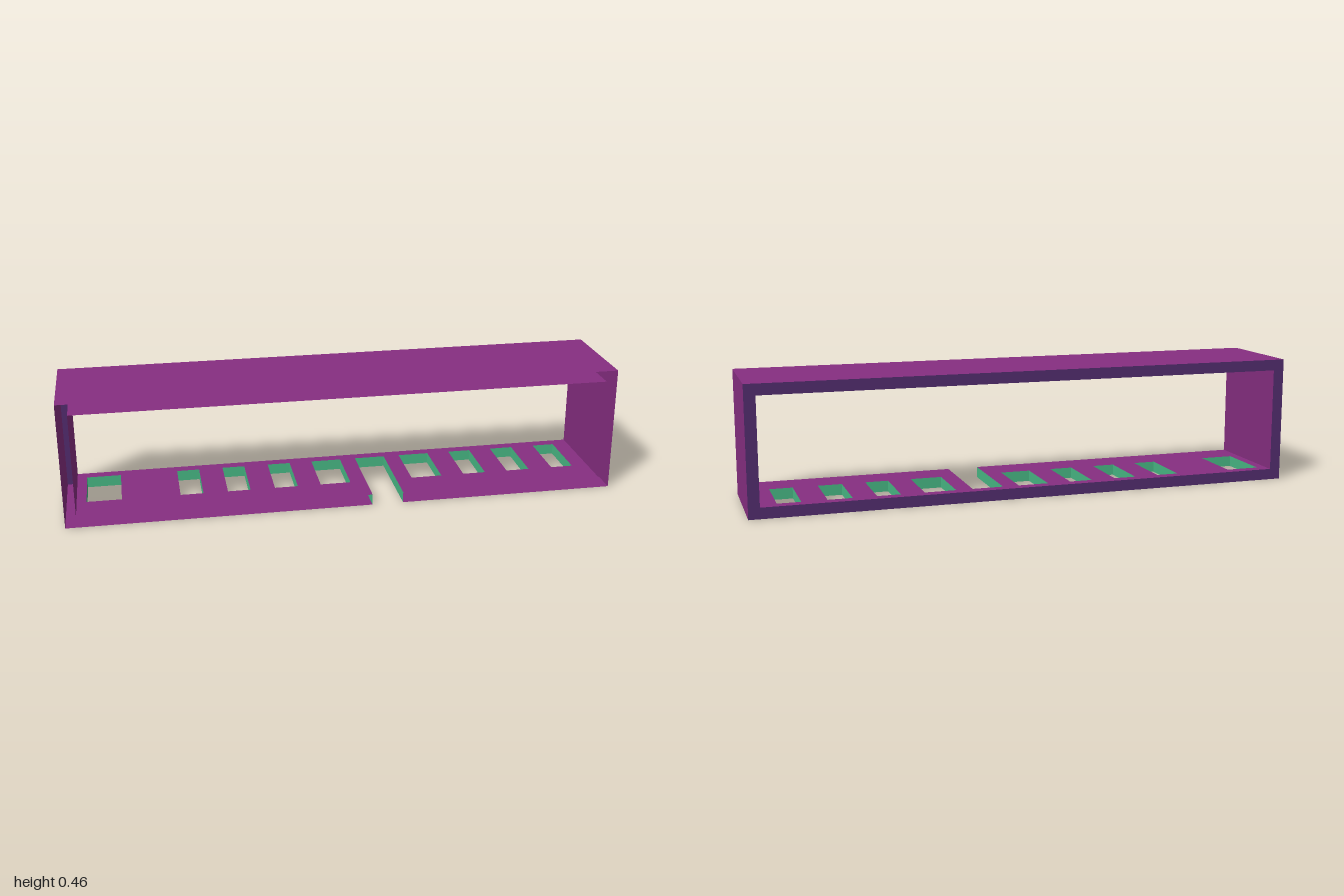
import * as THREE from 'three';

const W = 1, H = 0.46, D = 0.188, T = 0.04; // half width, height, half depth, wall thickness
const Z_BACK = -0.15, Z_FRONT = 0.067;

// x ranges of the cut-outs in the floor; the one marked open runs out to the front edge
const CUTS = [
  [-0.925, -0.8], [-0.59, -0.507], [-0.418, -0.335], [-0.245, -0.16], [-0.075, 0.037],
  [0.096, 0.21, 'open'], [0.27, 0.385], [0.47, 0.555], [0.64, 0.727], [0.817, 0.9],
];

const mat = (name, color) => {
  const m = new THREE.MeshStandardMaterial({ color, side: THREE.DoubleSide });
  m.name = name;
  return m;
};

const polygon = (pts, Type = THREE.Shape) => new Type(pts.map(([x, y]) => new THREE.Vector2(x, y)));
const rect = (x0, x1, y0, y1) => [[x0, y0], [x1, y0], [x1, y1], [x0, y1]];

export function createModel() {
  const purple = mat('purple', 0x862e81);
  const indigo = mat('indigo', 0x532d70);
  const green = mat('green', 0x48b985);
  const model = new THREE.Group();
  model.name = 'openFrame';

  const add = (name, geometry, material, parent = model) => {
    const mesh = new THREE.Mesh(geometry, material);
    mesh.name = name;
    parent.add(mesh);
    return mesh;
  };
  // Flat panel turned about one axis, then moved into place
  const panel = (name, w, h, x, y, z, rx, ry, material, parent) => {
    const m = add(name, new THREE.PlaneGeometry(w, h), material, parent);
    m.position.set(x, y, z);
    m.rotation.set(rx, ry, 0);
  };
  const Q = Math.PI / 2;

  // Outer and inner skins of the roof and side walls, hollow and open at the front
  panel('roofOuter', 2 * W, 2 * D, 0, H, 0, -Q, 0, purple);
  panel('roofInner', 2 * (W - T), 2 * D, 0, H - T, 0, Q, 0, purple);
  for (const s of [-1, 1]) {
    const side = s > 0 ? 'left' : 'right';
    panel(side + 'WallOuter', 2 * D, H, s * W, H / 2, 0, 0, s * Q, purple);
    panel(side + 'WallInner', 2 * D, H - 2 * T, s * (W - T), H / 2, 0, 0, -s * Q, purple);
  }

  // Floor skins with the cut-outs (shape y is -z)
  const slot = CUTS.find((c) => c[2]);
  const floor = (half) => {
    const shape = polygon([
      [-half, -D], [slot[0], -D], [slot[0], -Z_BACK], [slot[1], -Z_BACK], [slot[1], -D],
      [half, -D], [half, D], [-half, D],
    ]);
    for (const [a, b, open] of CUTS)
      if (!open) shape.holes.push(polygon(rect(a, b, -Z_FRONT, -Z_BACK), THREE.Path));
    return new THREE.ShapeGeometry(shape).rotateX(-Q);
  };
  add('floorInner', floor(W - T), purple).position.y = T;
  const under = floor(W);
  under.scale(1, -1, 1);
  const idx = under.index.array; // face the underside downwards
  for (let i = 0; i < idx.length; i += 3) [idx[i], idx[i + 1]] = [idx[i + 1], idx[i]];
  under.computeVertexNormals();
  add('floorOuter', under, purple);

  // Rim closing the back
  const rim = polygon(rect(-W, W, 0, H));
  rim.holes.push(polygon(rect(-W + T, W - T, T, H - T), THREE.Path));
  const back = add('backRim', new THREE.ShapeGeometry(rim), indigo);
  back.rotation.y = Math.PI;
  back.position.z = -D;

  // Green walls lining each cut-out
  CUTS.forEach(([a, b, open], i) => {
    const lining = new THREE.Group();
    lining.name = open ? 'slotLining' : 'holeLining' + i;
    model.add(lining);
    const front = open ? D : Z_FRONT;
    const depth = front - Z_BACK, mid = (front + Z_BACK) / 2, cx = (a + b) / 2;
    panel('liningRight', depth, T, a, T / 2, mid, 0, Q, green, lining);
    panel('liningLeft', depth, T, b, T / 2, mid, 0, -Q, green, lining);
    panel('liningBack', b - a, T, cx, T / 2, Z_BACK, 0, 0, green, lining);
    if (!open) panel('liningFront', b - a, T, cx, T / 2, front, 0, Math.PI, green, lining);
  });

  return model;
}
